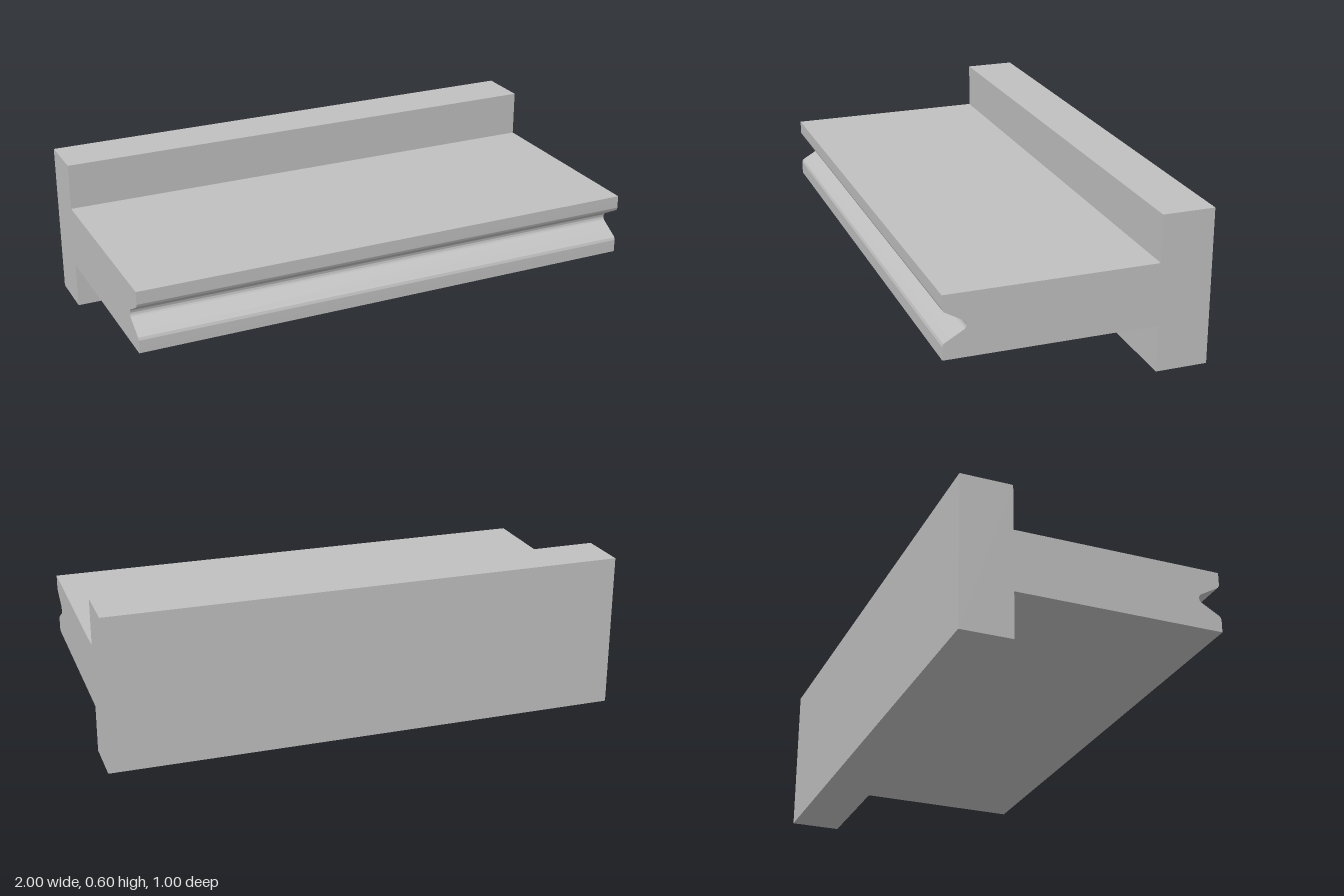
import * as THREE from 'three';
import { toCreasedNormals } from 'three/addons/utils/BufferGeometryUtils.js';

export function createModel() {
  const group = new THREE.Group();
  group.name = 'groovedRail';
  const grey = new THREE.MeshStandardMaterial({ color: 0xc0c0c0 });
  grey.name = 'plain grey';

  // T-shaped cross-section (shape x runs along z), with a rounded V-groove in the front edge
  const deg = Math.PI / 180, r = 0.02;
  const profile = new THREE.Shape();
  profile.moveTo(-0.5, 0);
  profile.lineTo(-0.3, 0);
  profile.lineTo(-0.3, 0.18);
  profile.lineTo(0.5, 0.18);
  profile.absarc(0.48, 0.2275, r, 0, 60 * deg, false);           // lower lip
  profile.absarc(0.434, 0.3, r, 240 * deg, 120 * deg, true);     // groove bottom
  profile.absarc(0.48, 0.3725, r, -60 * deg, 0, false);          // upper lip
  profile.lineTo(0.5, 0.42);
  profile.lineTo(-0.3, 0.42);
  profile.lineTo(-0.3, 0.6);
  profile.lineTo(-0.5, 0.6);
  profile.closePath();

  // Extrude the section along the full width
  const geometry = new THREE.ExtrudeGeometry(profile, { depth: 2, bevelEnabled: false, curveSegments: 12 });
  geometry.translate(0, 0, -1);
  geometry.rotateY(-Math.PI / 2);

  const rail = new THREE.Mesh(toCreasedNormals(geometry, 30 * deg), grey);
  rail.name = 'railBody';
  group.add(rail);
  return group;
}
